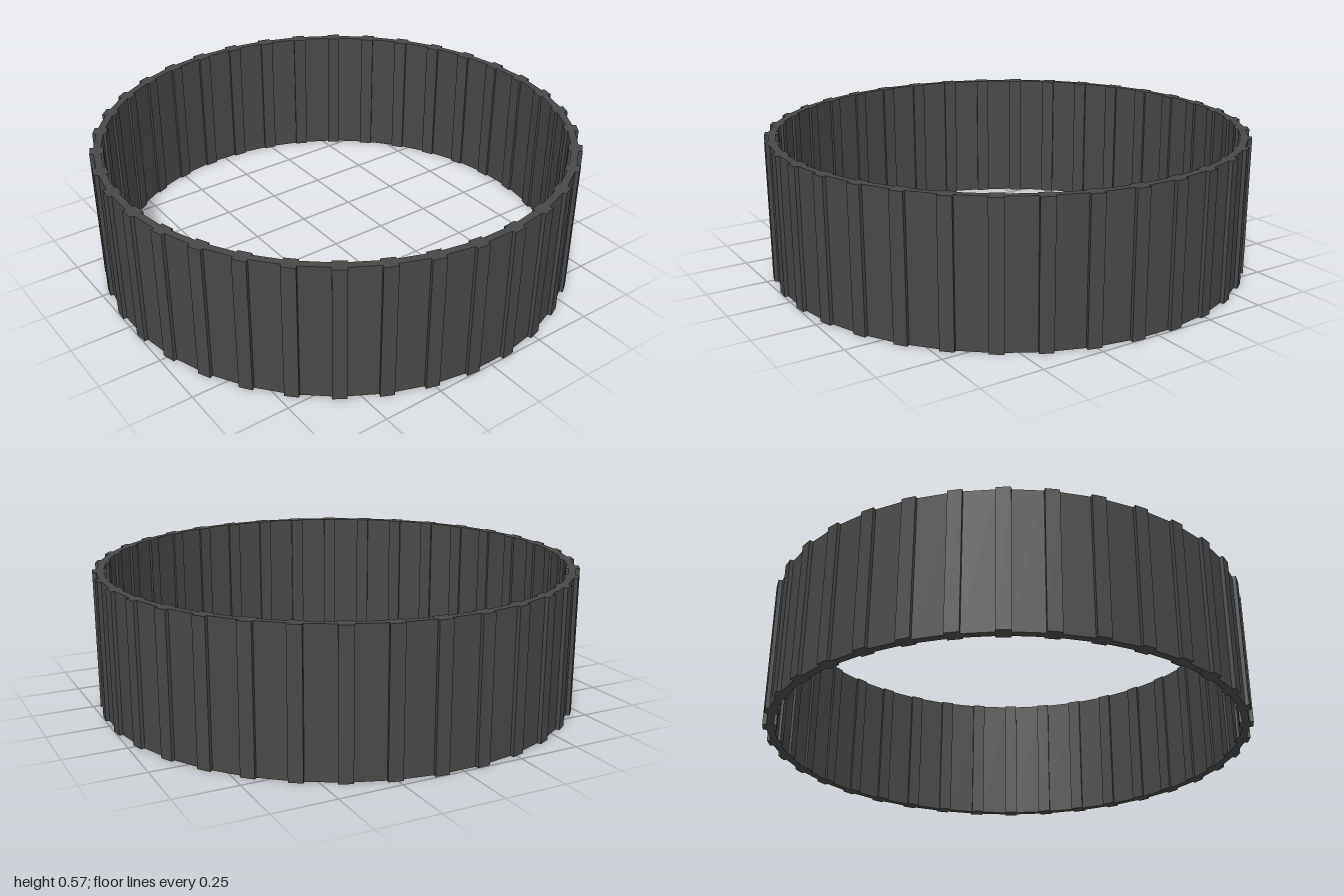
import * as THREE from 'three';

const COUNT = 36, HEIGHT = 0.57, RADIUS = 0.973;
const STEP = (Math.PI * 2) / COUNT;

export function createModel() {
  const group = new THREE.Group();
  group.name = 'ribbedRing';
  const material = new THREE.MeshStandardMaterial({ color: 0x4a4846, flatShading: true });

  // Thick upright ribs, and thin flat panels bridging the gaps between them
  const ribGeometry = new THREE.BoxGeometry(0.055, HEIGHT, 0.056);
  const panelGeometry = new THREE.BoxGeometry(0.119, HEIGHT, 0.03);

  const place = (name, geometry, radius, angle) => {
    const mesh = new THREE.Mesh(geometry, material);
    mesh.name = name;
    mesh.position.set(Math.sin(angle) * radius, HEIGHT / 2, Math.cos(angle) * radius);
    mesh.rotation.y = angle;
    group.add(mesh);
  };

  for (let i = 0; i < COUNT; i++) {
    place('panel', panelGeometry, RADIUS * Math.cos(STEP / 2), i * STEP);
    place('rib', ribGeometry, RADIUS, (i + 0.5) * STEP);
  }
  return group;
}
